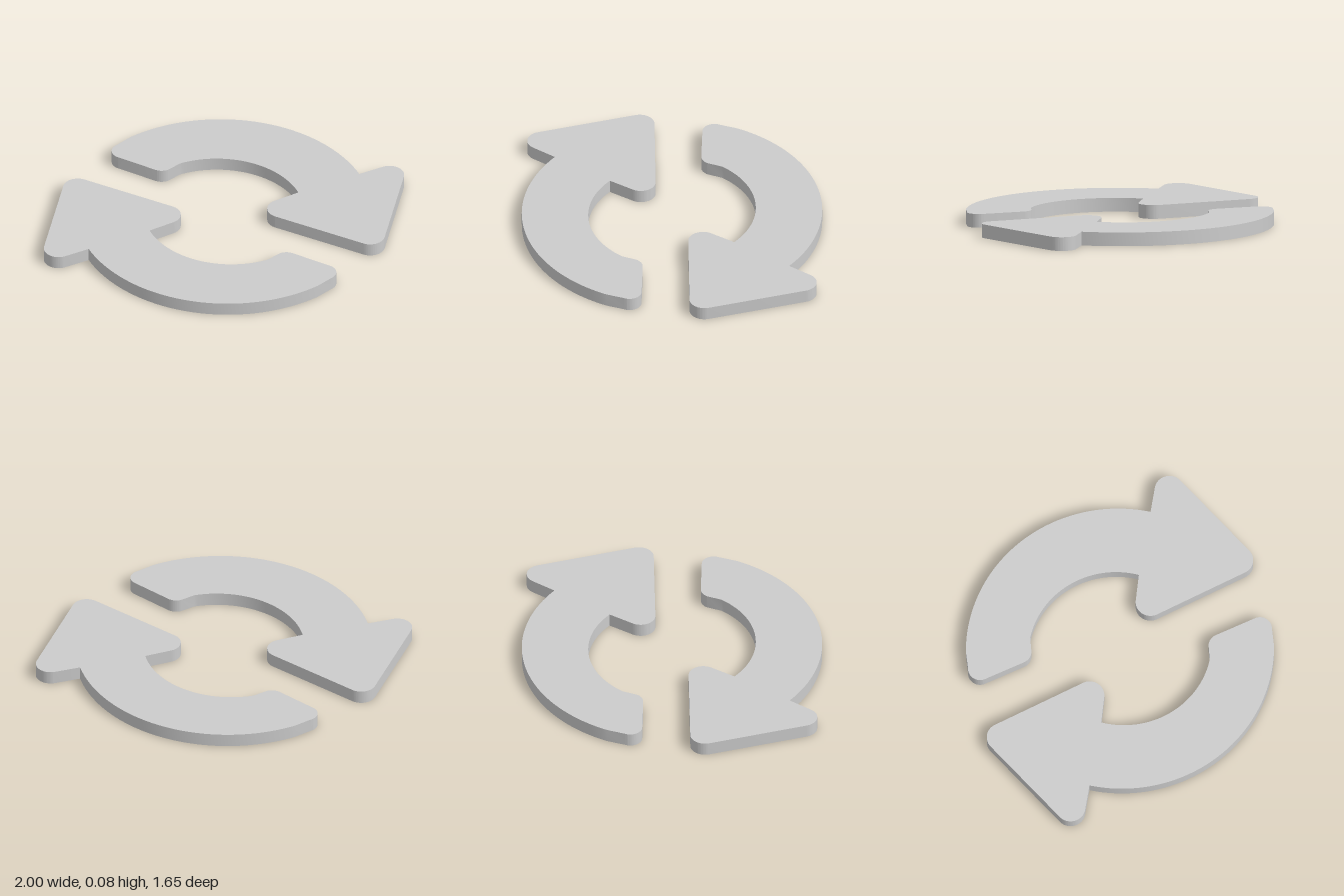
import * as THREE from 'three';
import { toCreasedNormals } from 'three/addons/utils/BufferGeometryUtils.js';

const THICKNESS = 0.075;

// Each outline arc: centre x, centre y, radius, start and end angle in degrees, clockwise.
// Straight edges join the end of one arc to the start of the next.
const ARROW_ARCS = [
  [-0.02, 0, 0.824, 121.3, 19.2, true],      // outer sweep of the shaft
  [0.92, 0.25, 0.08, 112, -15.8, true],      // outer barb
  [0.77, -0.28, 0.08, -15.8, -121.6, true],  // point
  [0.315, 0, 0.08, 238.4, 113.6, true],      // inner barb
  [-0.04, 0, 0.475, 16.5, 109.7, false],     // inner sweep of the shaft
  [-0.3, 0.46, 0.07, -63, -120.7, true],     // inner tail corner
  [-0.495, 0.585, 0.065, -120.7, -240, true] // outer tail corner
];

function createArrowGeometry() {
  const shape = new THREE.Shape();
  for (const [x, y, r, start, end, clockwise] of ARROW_ARCS) {
    shape.absarc(x, y, r, THREE.MathUtils.degToRad(start), THREE.MathUtils.degToRad(end), clockwise);
  }
  shape.closePath();
  const geometry = new THREE.ExtrudeGeometry(shape, {
    depth: THICKNESS, bevelEnabled: false, curveSegments: 20
  });
  geometry.rotateX(-Math.PI / 2); // lay flat on the ground plane
  return toCreasedNormals(geometry, Math.PI / 6);
}

export function createModel() {
  const model = new THREE.Group();
  model.name = 'circularArrows';
  const geometry = createArrowGeometry();
  const material = new THREE.MeshStandardMaterial({ color: 0xcccccc });

  // Two identical arrows chasing each other, half a turn apart
  ['backArrow', 'frontArrow'].forEach((name, i) => {
    const arrow = new THREE.Mesh(geometry, material);
    arrow.name = name;
    arrow.rotation.y = i * Math.PI;
    model.add(arrow);
  });
  return model;
}
